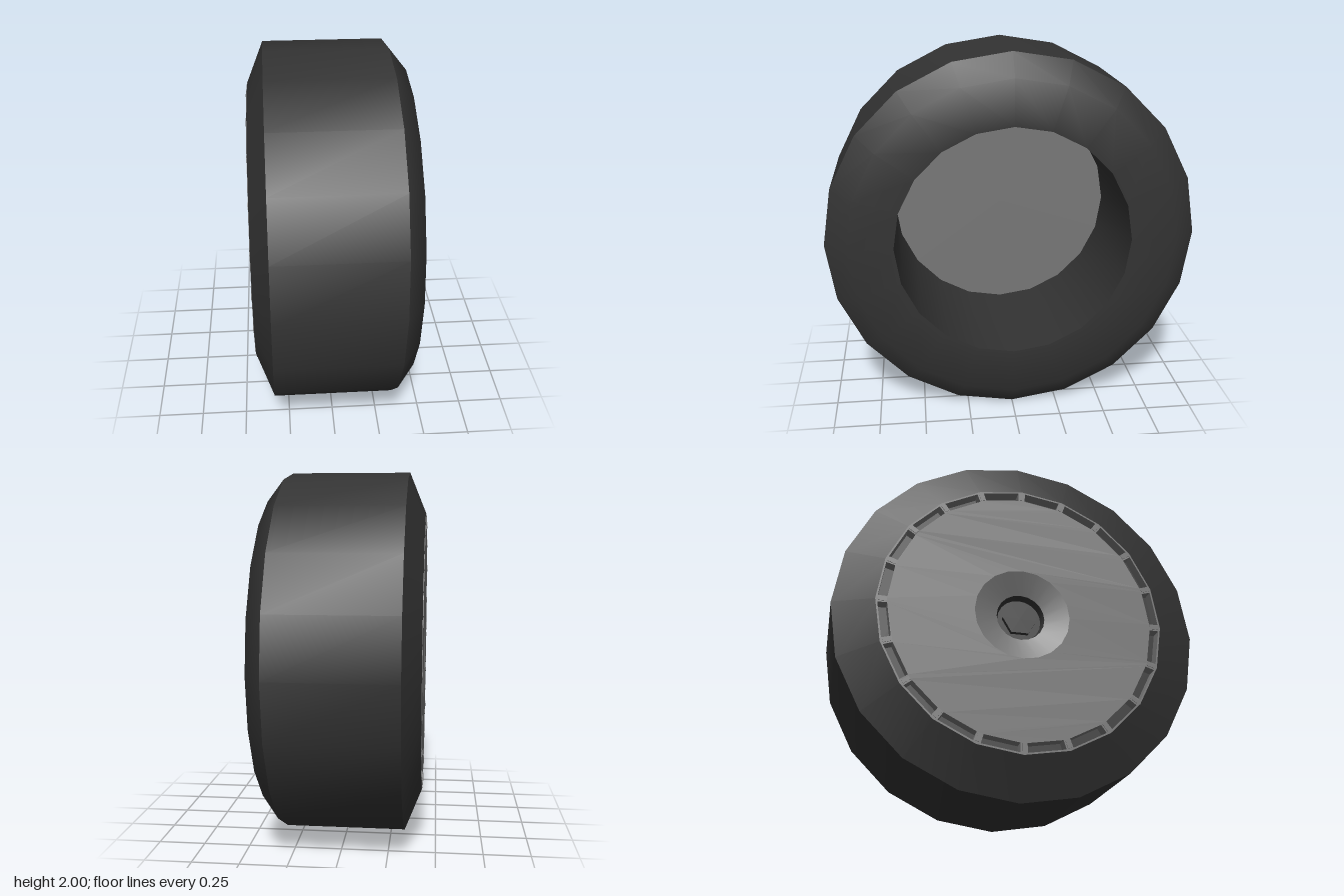
import * as THREE from 'three';
import { toCreasedNormals } from 'three/addons/utils/BufferGeometryUtils.js';

const SIDES = 20;
const STEP = (Math.PI * 2) / SIDES;

// Revolve [radius, x] pairs around the axle (x axis)
function revolve(profile, sides = SIDES) {
  const pts = profile.map(([r, x]) => new THREE.Vector2(r, x));
  const geo = new THREE.LatheGeometry(pts, sides);
  geo.rotateZ(-Math.PI / 2);
  return toCreasedNormals(geo, 0.72);
}

const polar = (r, a) => new THREE.Vector2(r * Math.cos(a), r * Math.sin(a));
const ring = (r) => Array.from({ length: SIDES }, (_, i) => polar(r, i * STEP));

export function createModel() {
  const wheel = new THREE.Group();
  wheel.name = 'wheel';
  const rubber = new THREE.MeshStandardMaterial({ color: 0x333333 });
  const metal = new THREE.MeshStandardMaterial({ color: 0x777777 });
  const metalThin = new THREE.MeshStandardMaterial({ color: 0x777777, side: THREE.DoubleSide });

  const add = (name, geo, mat) => {
    const mesh = new THREE.Mesh(geo, mat);
    mesh.name = name;
    mesh.position.y = 1;
    wheel.add(mesh);
    return mesh;
  };

  // Tyre with its open barrel on the left and a seat for the cover on the right
  add('tyre', revolve([
    [0.635, -0.36], [0.78, -0.36], [0.78, -0.42], [1, -0.33],
    [1, 0.325], [0.88, 0.42], [0.635, 0.42], [0.635, -0.36],
  ]), rubber);

  // Wheel cover: faceted disc with a slot along each side of its rim
  const disc = new THREE.Shape(ring(0.78));
  disc.holes.push(new THREE.Path(ring(0.26).reverse()));
  const half = STEP * 0.42;
  for (let i = 0; i < SIDES; i++) {
    const mid = (i + 0.5) * STEP;
    disc.holes.push(new THREE.Path([
      polar(0.718, mid - half), polar(0.718, mid + half),
      polar(0.768, mid + half), polar(0.768, mid - half),
    ]));
  }
  const coverGeo = new THREE.ExtrudeGeometry(disc, { depth: 0.062, bevelEnabled: false });
  coverGeo.rotateY(-Math.PI / 2);
  coverGeo.translate(-0.36, 0, 0);
  add('wheelCover', coverGeo, metal);

  // Slim raised ribs between the slots
  for (let i = 0; i < SIDES; i++) {
    const rib = new THREE.BoxGeometry(0.012, 0.045, 0.02);
    rib.translate(-0.419, 0.743, 0);
    rib.rotateX(i * STEP);
    add('rimRib', rib, metal);
  }

  // Dished hub and its dark socket
  add('hubDish', revolve([[0.132, -0.375], [0.26, -0.422]]), metal);
  add('hubSocket', revolve([[0, -0.335], [0.12, -0.335], [0.132, -0.375]]), rubber);

  // Six-sided nut deep in the socket
  const nut = new THREE.CylinderGeometry(0.095, 0.095, 0.025, 6);
  nut.rotateZ(Math.PI / 2);
  nut.translate(-0.347, 0, 0);
  add('hubNut', toCreasedNormals(nut, 0.5), rubber);

  // Plain plate closing the barrel behind the cover
  const plate = new THREE.CircleGeometry(0.635, SIDES);
  plate.rotateY(Math.PI / 2);
  plate.translate(-0.33, 0, 0);
  add('backPlate', plate, metalThin);

  return wheel;
}
